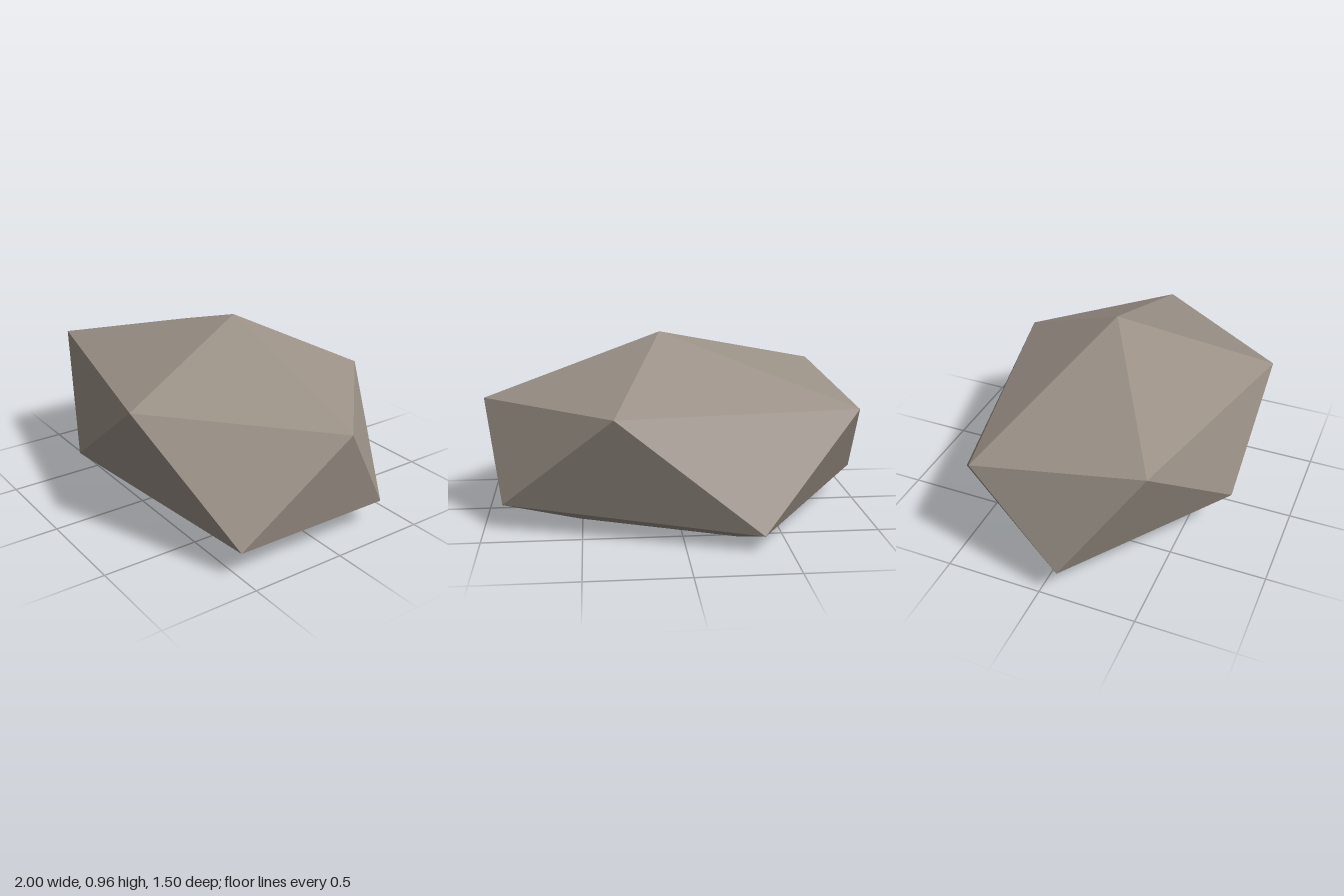
import * as THREE from 'three';

export function createModel() {
  const group = new THREE.Group();
  group.name = 'boulder';
  const stone = new THREE.MeshStandardMaterial({ color: 0x9a9086 });
  stone.name = 'warm grey stone';

  // Uneven twenty-sided rock: a peak, two staggered rings of five corners, and a buried tip
  const v = (x, y, z) => new THREE.Vector3(x, y, z);
  const peak = v(0.08, 0.96, -0.03);
  const upper = [v(-0.82, 0.715, 0.48), v(0.35, 0.7, 0.75), v(1, 0.625, -0.04), v(0.34, 0.645, -0.655), v(-0.91, 0.605, -0.38)];
  const lower = [v(-1, 0.16, 0.1), v(-0.24, 0.25, 0.73), v(0.9, 0.145, 0.51), v(0.9, 0.14, -0.35), v(-0.37, 0.085, -0.755)];
  const tip = v(-0.03, -0.2, 0.01);

  // The underside is sliced flat where the edges to the tip cross the ground
  const base = lower.map((p) => p.clone().lerp(tip, p.y / (p.y - tip.y)).setY(0));

  const points = [];
  const face = (...corners) => {
    for (let i = 1; i < corners.length - 1; i++) points.push(corners[0], corners[i], corners[i + 1]);
  };
  for (let i = 0; i < 5; i++) {
    const j = (i + 1) % 5;
    face(peak, upper[i], upper[j]); // crown
    face(upper[i], lower[j], upper[j]); // sides pointing down
    face(lower[i], lower[j], upper[i]); // sides pointing up
    face(lower[i], base[i], base[j], lower[j]); // undercut
  }
  face(...[...base].reverse()); // flat bottom

  // Unshared corners give each facet its own flat normal
  const geometry = new THREE.BufferGeometry().setFromPoints(points);
  geometry.computeVertexNormals();

  const rock = new THREE.Mesh(geometry, stone);
  rock.name = 'rock';
  group.add(rock);
  return group;
}
